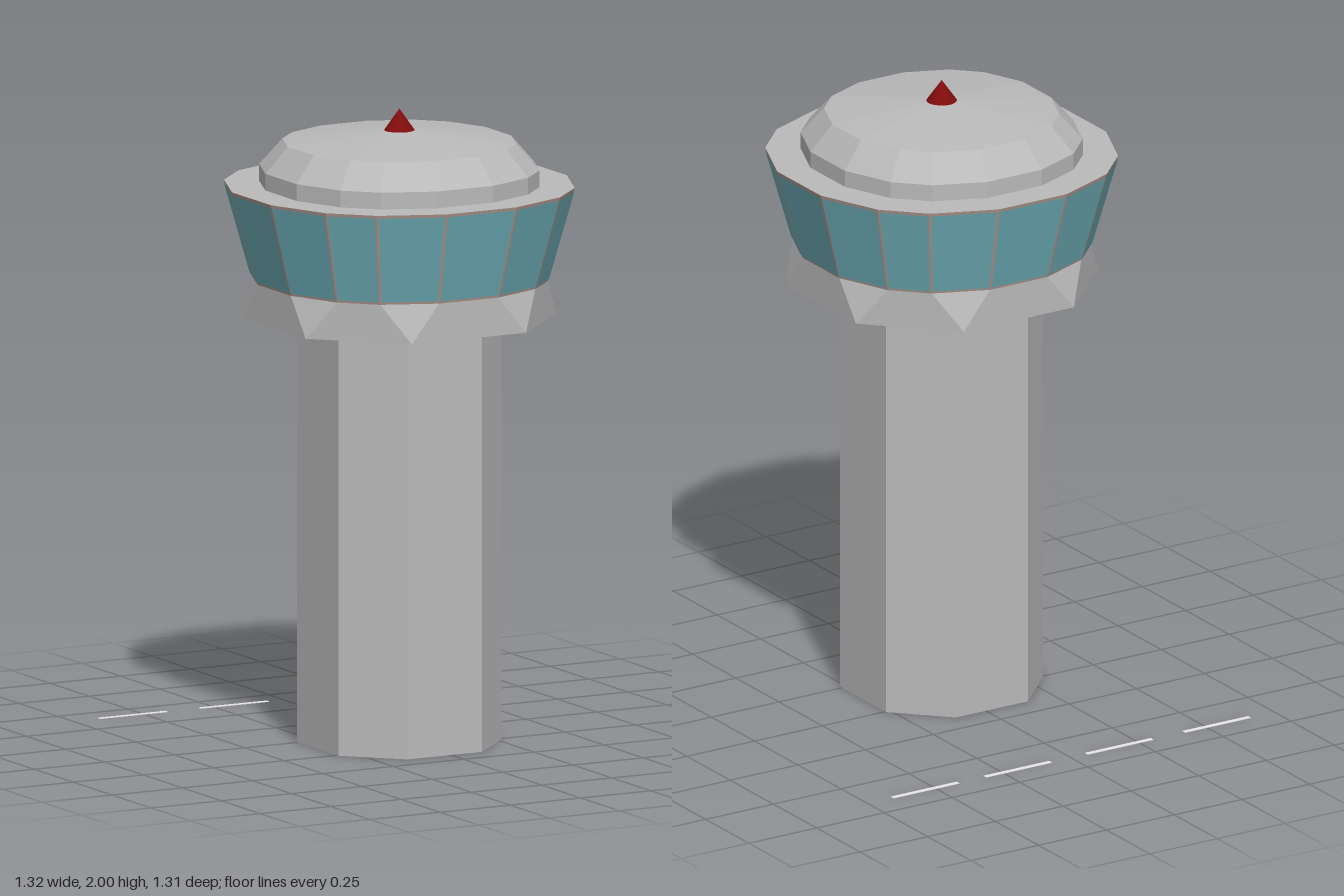
import * as THREE from 'three';

const CX = -0.022, CZ = 0.128;

const mat = (name, color, side = THREE.FrontSide) => {
  const m = new THREE.MeshStandardMaterial({ color, side });
  m.name = name;
  return m;
};

// Repeat one quarter of [x, z] points around the axis, at height y
const ring = (quarter, scale, y) => {
  const pts = [];
  for (let k = 0; k < 4; k++) {
    for (const p of quarter) {
      let [x, z] = p;
      for (let i = 0; i < k; i++) [x, z] = [z, -x];
      pts.push(new THREE.Vector3(x * scale, y, z * scale));
    }
  }
  return pts;
};
const CAB = [[-0.125, 0.526], [0.125, 0.526], [0.326, 0.443], [0.443, 0.326]];
const cabRing = (scale, y) => ring(CAB, scale, y);
// Eight-sided ring whose doubled corners match the sixteen points of the cab
const octRing = (h, c, y) => ring([[-c, h], [c, h], [c, h], [h, c]], 1, y);

// Flat-faced geometry from a list of triangles
function facets(tris) {
  const pos = [];
  for (const [a, b, c] of tris) {
    const area = b.clone().sub(a).cross(c.clone().sub(a)).length();
    if (area > 1e-8) for (const p of [a, b, c]) pos.push(p.x, p.y, p.z);
  }
  const g = new THREE.BufferGeometry();
  g.setAttribute('position', new THREE.Float32BufferAttribute(pos, 3));
  g.computeVertexNormals();
  return g;
}

// Skin a stack of rings from bottom to top, with optional caps
function loft(rings, bottom = null, top = null) {
  const tris = [];
  const n = rings[0].length;
  for (let i = 0; i < n; i++) {
    const j = (i + 1) % n;
    for (let r = 0; r + 1 < rings.length; r++) {
      const lo = rings[r], hi = rings[r + 1];
      tris.push([lo[i], lo[j], hi[j]], [lo[i], hi[j], hi[i]]);
    }
    const last = rings[rings.length - 1];
    if (bottom !== null) tris.push([new THREE.Vector3(0, bottom, 0), rings[0][j], rings[0][i]]);
    if (top !== null) tris.push([new THREE.Vector3(0, top, 0), last[i], last[j]]);
  }
  return facets(tris);
}

// One pane per cab face, slightly inset and raised
function panes(lo, hi) {
  const tris = [];
  const n = lo.length;
  for (let i = 0; i < n; i++) {
    const j = (i + 1) % n;
    const out = lo[j].clone().sub(lo[i]).cross(hi[i].clone().sub(lo[i])).normalize().multiplyScalar(0.003);
    const gap = 0.004 / lo[i].distanceTo(lo[j]);
    const at = (u, v) => lo[i].clone().lerp(lo[j], u).lerp(hi[i].clone().lerp(hi[j], u), v).add(out);
    const a = at(gap, 0.03), b = at(1 - gap, 0.03), c = at(1 - gap, 0.97), d = at(gap, 0.97);
    tris.push([a, b, c], [a, c, d]);
  }
  return facets(tris);
}

export function createModel() {
  const concrete = mat('concrete grey', 0xbababa);
  const frame = mat('frame beige', 0xb39c92);
  const glass = mat('teal glass', 0x6fb0ba);
  const red = mat('beacon red', 0x800c0c);
  const paint = mat('white paint', 0xeeeeee, THREE.DoubleSide);

  const model = new THREE.Group();
  model.name = 'controlTower';
  const tower = new THREE.Group();
  tower.name = 'tower';
  tower.position.set(CX, 0, CZ);
  model.add(tower);

  const add = (parent, name, geometry, material) => {
    const mesh = new THREE.Mesh(geometry, material);
    mesh.name = name;
    parent.add(mesh);
    return mesh;
  };

  // Shaft and the flared collar that carries the cab
  add(tower, 'shaft', loft([octRing(0.29, 0.1325, 0), octRing(0.29, 0.1325, 1.345)], 0), concrete);
  const sill = cabRing(0.846, 1.465), head = cabRing(1, 1.762);
  add(tower, 'collar', loft([octRing(0.446, 0.203, 1.345), sill], 1.345), concrete);

  // Outward-leaning glazed cab
  add(tower, 'windowFrame', loft([sill, head]), frame);
  add(tower, 'windows', panes(sill, head), glass);
  add(tower, 'cabDeck', loft([head], null, 1.762), concrete);

  // Stepped roof with a shallow peak
  add(tower, 'roof', loft([cabRing(0.8, 1.762), cabRing(0.8, 1.815), cabRing(0.667, 1.897)], null, 1.938), concrete);

  // Beacon
  const beacon = add(tower, 'beacon', new THREE.ConeGeometry(0.048, 0.068, 24), red);
  beacon.position.y = 1.966;

  // Dashed ground line behind the tower
  for (const x of [-0.538, -0.179, 0.196, 0.537]) {
    const dash = add(model, 'groundDash', new THREE.BoxGeometry(0.243, 0.002, 0.016), paint);
    dash.position.set(x, 0.001, -0.652);
  }
  return model;
}
